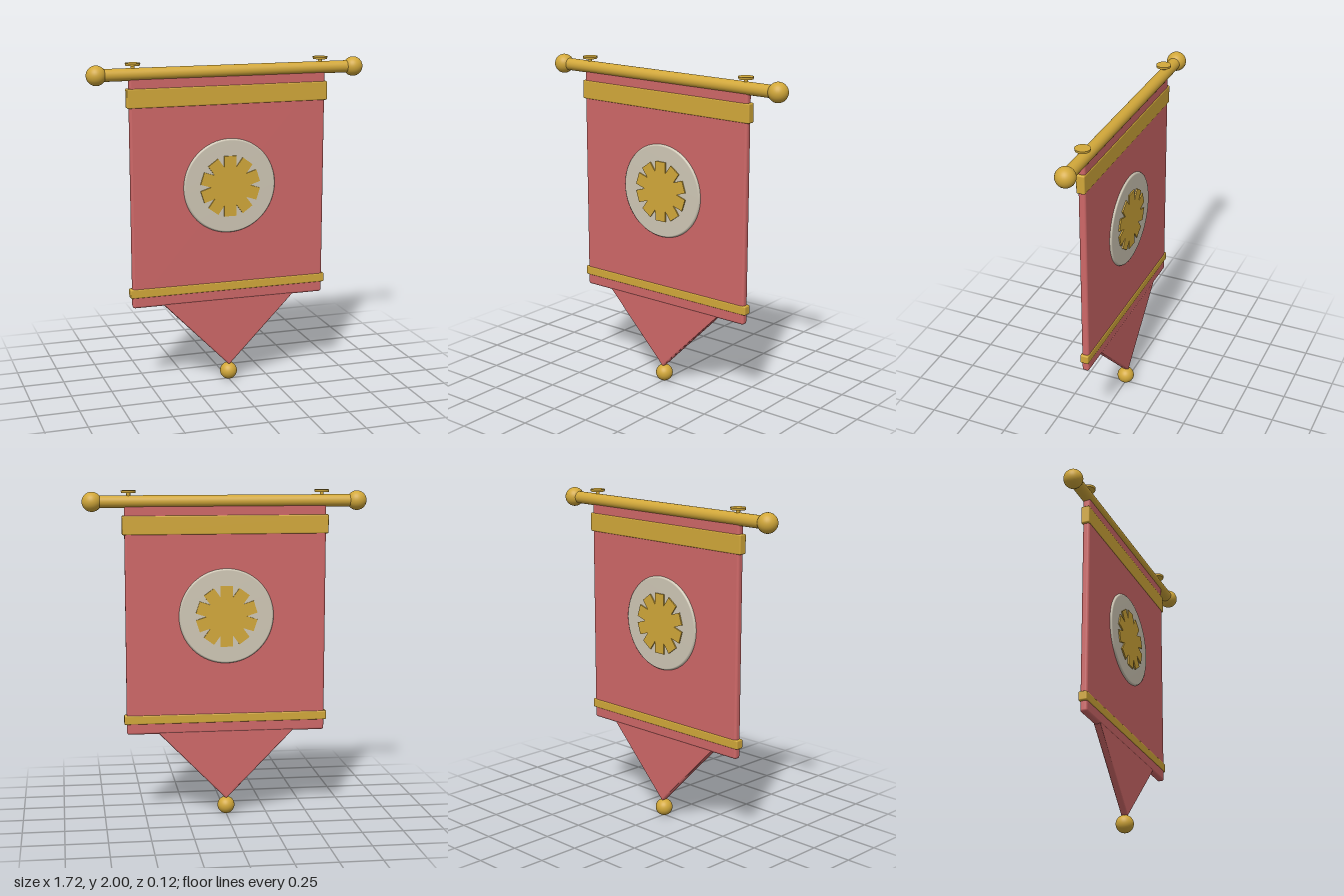
import * as THREE from 'three';
import { RoundedBoxGeometry } from 'three/addons/geometries/RoundedBoxGeometry.js';

function material(name, color) {
  const m = new THREE.MeshStandardMaterial({ color });
  m.name = name;
  return m;
}

export function createModel() {
  const group = new THREE.Group();
  const cloth = material('red cloth', 0xcf6868);
  const gold = material('gold', 0xd2a83a);
  const cream = material('cream', 0xd0c8b6);

  const add = (name, geometry, mat, x = 0, y = 0, z = 0) => {
    const mesh = new THREE.Mesh(geometry, mat);
    mesh.name = name;
    mesh.position.set(x, y, z);
    group.add(mesh);
    return mesh;
  };

  // Hanging cloth and its pointed tail
  add('bannerCloth', new RoundedBoxGeometry(1.22, 1.4, 0.044, 3, 0.015), cloth, 0, 1.22);

  const bevel = 0.012;
  const tail = new THREE.Shape();
  tail.moveTo(-0.41, 0.525);
  tail.lineTo(0, 0.112);
  tail.lineTo(0.41, 0.525);
  tail.closePath();
  const tailGeometry = new THREE.ExtrudeGeometry(tail, {
    depth: 0.042 - 2 * bevel, bevelThickness: bevel, bevelSize: bevel, bevelSegments: 3,
  });
  tailGeometry.translate(0, 0, bevel - 0.021);
  add('bannerTail', tailGeometry, cloth);

  // Gold trim bands wrapped round the cloth
  add('upperBand', new RoundedBoxGeometry(1.25, 0.115, 0.052, 2, 0.008), gold, 0, 1.794);
  add('lowerBand', new RoundedBoxGeometry(1.25, 0.056, 0.052, 2, 0.008), gold, 0, 0.612);

  // Round medallion with softened rims, showing on both faces
  const rim = [[0, -0.034], [0.277, -0.034], [0.284, -0.031], [0.289, -0.022],
    [0.289, 0.022], [0.284, 0.031], [0.277, 0.034], [0, 0.034]];
  const medallion = new THREE.LatheGeometry(rim.map(([r, y]) => new THREE.Vector2(r, y)), 64);
  medallion.rotateX(Math.PI / 2);
  add('medallion', medallion, cream, 0, 1.242);

  // Ten-spoked emblem: square spoke tips joined by sharp notches
  const spokes = 10, half = 0.038, reach = 0.185;
  const points = [];
  for (let i = 0; i < spokes; i++) {
    const a = Math.PI / 2 + (i * 2 * Math.PI) / spokes;
    const step = Math.PI / spokes;
    const ux = Math.cos(a), uy = Math.sin(a);
    points.push(new THREE.Vector2(ux * reach + uy * half, uy * reach - ux * half));
    points.push(new THREE.Vector2(ux * reach - uy * half, uy * reach + ux * half));
    const notch = half / Math.sin(step);
    points.push(new THREE.Vector2(Math.cos(a + step) * notch, Math.sin(a + step) * notch));
  }
  const emblem = new THREE.ExtrudeGeometry(new THREE.Shape(points), { depth: 0.084, bevelEnabled: false });
  emblem.translate(0, 0, -0.042);
  add('emblem', emblem, gold, 0, 1.242);

  // Pole, with end balls and hanging studs on both sides
  const pole = new THREE.CylinderGeometry(0.037, 0.037, 1.6, 32);
  pole.rotateZ(Math.PI / 2);
  add('pole', pole, gold, 0, 1.934);
  for (const [side, s] of [['left', 1], ['right', -1]]) {
    add(side + 'PoleBall', new THREE.SphereGeometry(0.059, 32, 20), gold, s * 0.8, 1.934);
    add(side + 'StudStem', new THREE.CylinderGeometry(0.012, 0.012, 0.04, 16), gold, s * 0.583, 1.972);
    add(side + 'StudCap', new THREE.CylinderGeometry(0.045, 0.043, 0.014, 32), gold, s * 0.583, 1.993);
  }

  // Weight at the tip of the tail
  add('tailBall', new THREE.SphereGeometry(0.053, 32, 20), gold, 0, 0.053);

  return group;
}
